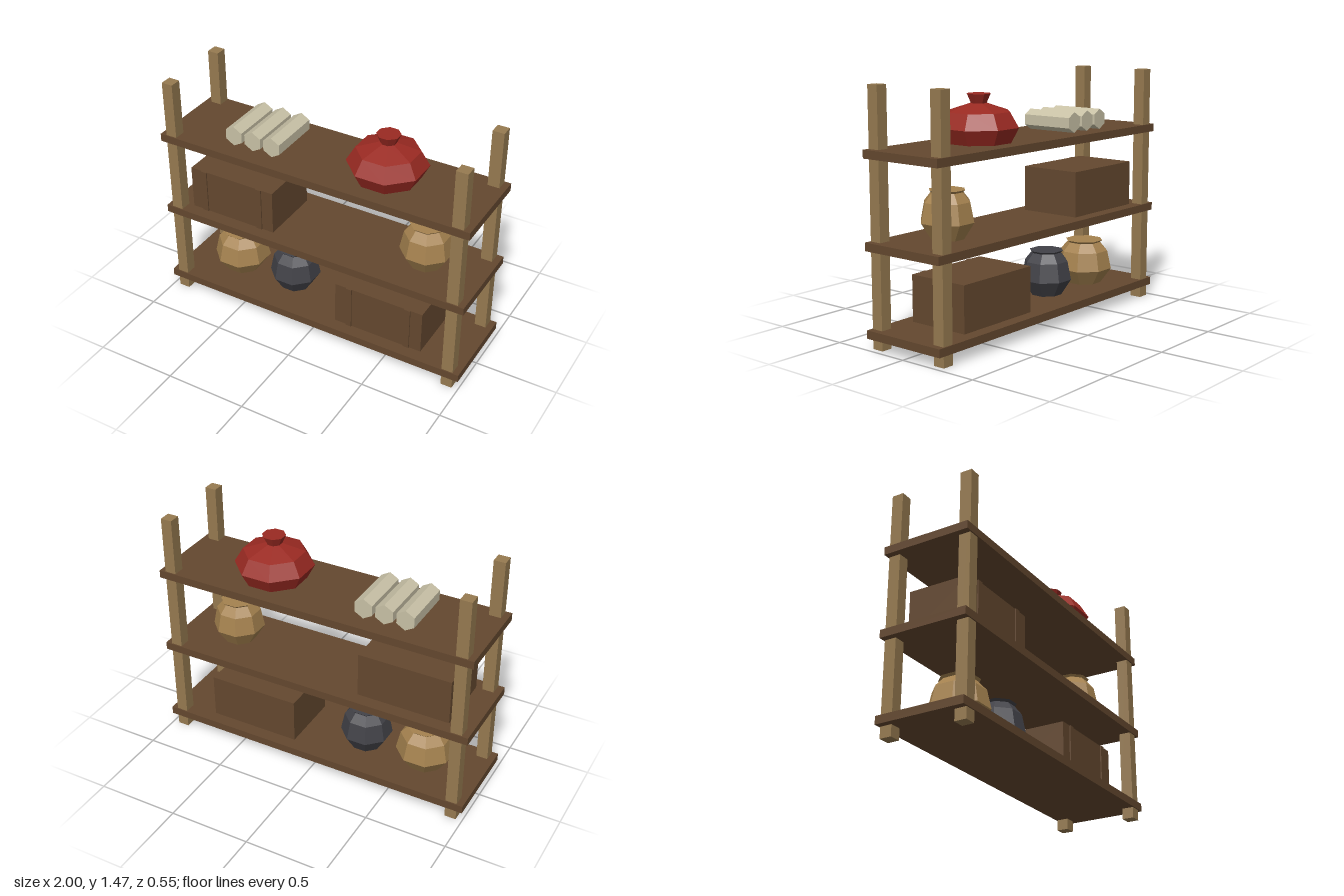
import * as THREE from 'three';

const material = (name, color, flatShading = false) => {
  const m = new THREE.MeshStandardMaterial({ color, flatShading });
  m.name = name;
  return m;
};

export function createModel() {
  const darkWood = material('dark wood', 0x64482f);
  const lightWood = material('light wood', 0x967a50);
  const clay = material('tan clay', 0xa5824f, true);
  const slate = material('dark grey clay', 0x424248, true);
  const red = material('red glaze', 0x9a2a22, true);
  const paper = material('paper', 0xc8c1a6, true);

  const model = new THREE.Group();
  model.name = 'stockedShelf';

  const add = (parent, name, geometry, mat, x, y, z) => {
    const mesh = new THREE.Mesh(geometry, mat);
    mesh.name = name;
    mesh.position.set(x, y, z);
    parent.add(mesh);
    return mesh;
  };

  // Corner posts
  const postGeometry = new THREE.BoxGeometry(0.07, 1.465, 0.072);
  for (const x of [-0.927, 0.927])
    for (const z of [-0.23, 0.23]) add(model, 'post', postGeometry, lightWood, x, 0.7325, z);

  // Boards, given by the height of their top face
  const LOW = 0.115, MID = 0.609, HIGH = 1.117;
  const boardGeometry = new THREE.BoxGeometry(2, 0.048, 0.546);
  for (const y of [LOW, MID, HIGH]) add(model, 'shelfBoard', boardGeometry, darkWood, 0, y - 0.024, 0);

  // Crates with two battens on the front
  const crate = (x, y) => {
    const g = new THREE.Group();
    g.name = 'crate';
    g.position.set(x, y, 0);
    add(g, 'crateBody', new THREE.BoxGeometry(0.573, 0.275, 0.39), darkWood, 0, 0.1375, 0);
    for (const s of [-1, 1])
      add(g, 'crateBatten', new THREE.BoxGeometry(0.037, 0.275, 0.009), darkWood, s * 0.193, 0.1375, 0.1985);
    model.add(g);
  };
  crate(-0.567, MID);
  crate(0.434, LOW);

  // Eight-sided vessels; profile radii are measured across the flats
  const vessel = (name, profile, mat, x, y, widen = 1) => {
    const points = profile.map(([r, h]) => new THREE.Vector2((r * widen) / Math.cos(Math.PI / 8), h));
    add(model, name, new THREE.LatheGeometry(points, 8, Math.PI / 8), mat, x, y, 0);
  };
  const jar = [[0, 0], [0.089, 0], [0.145, 0.096], [0.124, 0.209], [0.085, 0.262], [0.097, 0.275], [0, 0.275]];
  vessel('largeClayJar', jar, clay, -0.64, LOW, 1.125);
  vessel('greyJar', jar, slate, -0.249, LOW);
  vessel('clayJar', jar, clay, 0.636, MID);
  const urn = [[0, 0], [0.175, 0], [0.218, 0.087], [0.17, 0.174], [0.043, 0.22], [0.065, 0.273], [0, 0.273]];
  vessel('redUrn', urn, red, 0.37, HIGH);

  // Hexagonal scrolls lying front to back
  const scrollGeometry = new THREE.CylinderGeometry(0.062, 0.062, 0.335, 6).rotateX(Math.PI / 2);
  for (const x of [-0.551, -0.423, -0.295]) add(model, 'scroll', scrollGeometry, paper, x, HIGH + 0.062, -0.004);

  return model;
}
